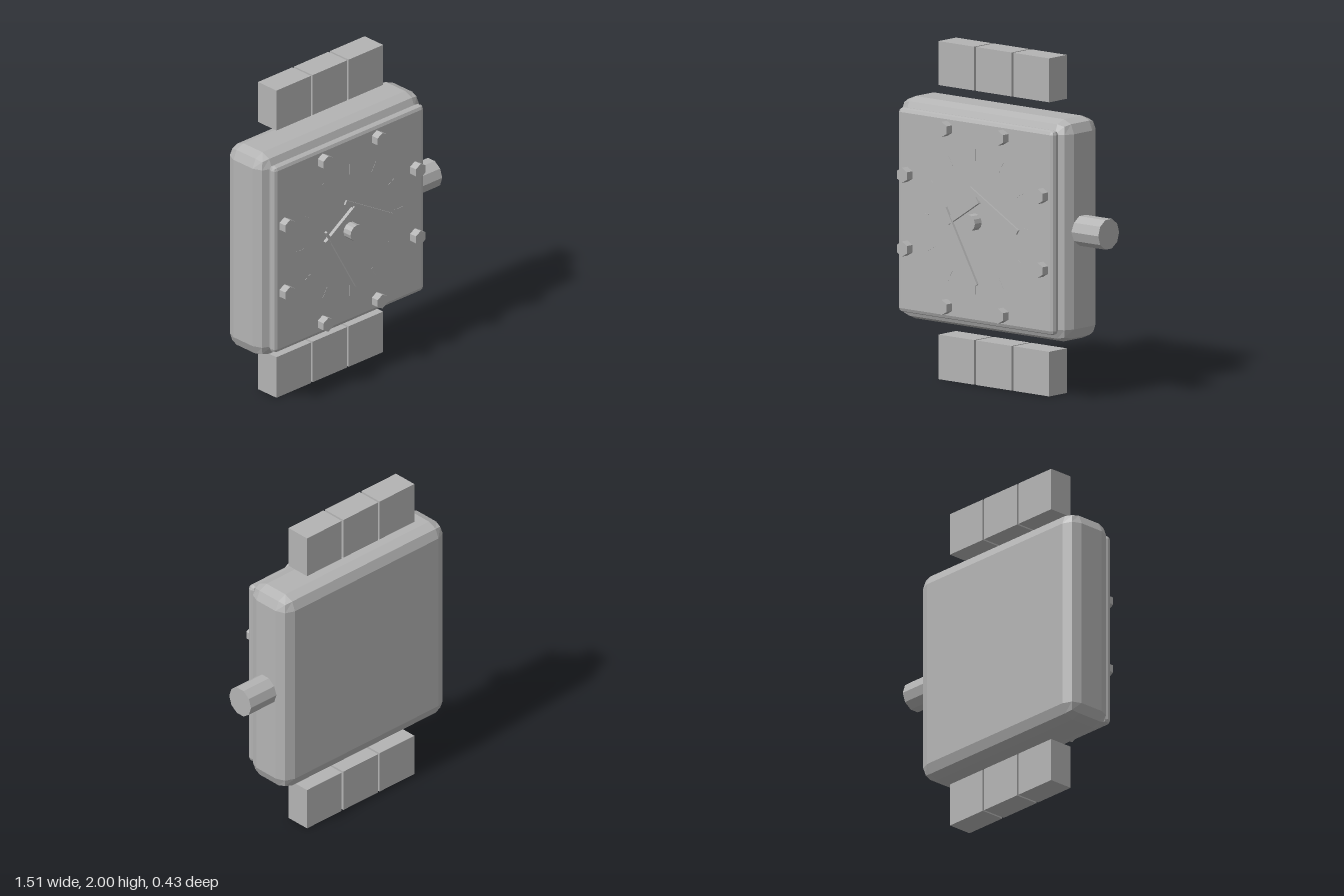
import * as THREE from 'three';
import { RoundedBoxGeometry } from 'three/addons/geometries/RoundedBoxGeometry.js';

const CX = -0.1, CY = 1.005; // centre of the dial

export function createModel() {
  const watch = new THREE.Group();
  watch.name = 'wristwatch';
  const steel = new THREE.MeshStandardMaterial({ color: 0xb3b3b3 });
  steel.name = 'grey steel';

  const add = (name, geometry, x, y, z) => {
    // faceted normals throughout
    const flat = geometry.index ? geometry.toNonIndexed() : geometry;
    flat.computeVertexNormals();
    const mesh = new THREE.Mesh(flat, steel);
    mesh.name = name;
    mesh.position.set(x, y, z);
    watch.add(mesh);
    return mesh;
  };

  // a bar lying on the dial between two points
  const bar = (name, [x1, y1], [x2, y2], width, z1, z2) => {
    const length = Math.hypot(x2 - x1, y2 - y1);
    const mesh = add(name, new THREE.BoxGeometry(length, width, z2 - z1),
      (x1 + x2) / 2, (y1 + y2) / 2, (z1 + z2) / 2);
    mesh.rotation.z = Math.atan2(y2 - y1, x2 - x1);
  };

  // bevelled case and dial plate
  add('case', new RoundedBoxGeometry(1.31, 1.315, 0.32, 1, 0.08), CX - 0.003, CY, -0.055);
  add('dialPlate', new RoundedBoxGeometry(1.21, 1.21, 0.056, 1, 0.025), CX, CY, 0.127);

  // winding crown on the side of the case
  const crown = new THREE.CylinderGeometry(0.092, 0.092, 0.22, 10);
  crown.rotateZ(-Math.PI / 2);
  add('crown', crown, 0.645, CY, -0.05);

  // ring of hexagonal bolts
  for (let i = 0; i < 8; i++) {
    const a = (i + 0.5) * Math.PI / 4;
    const bolt = new THREE.CylinderGeometry(0.045, 0.045, 0.055, 6);
    bolt.rotateX(Math.PI / 2);
    add('bolt', bolt, CX + 0.57 * Math.cos(a), CY + 0.57 * Math.sin(a), 0.1765);
  }

  // fine hour marks, almost flush with the dial
  for (let i = 0; i < 12; i++) {
    const a = i * Math.PI / 6, c = Math.cos(a), s = Math.sin(a);
    bar('hourMark', [CX + 0.36 * c, CY + 0.36 * s], [CX + 0.43 * c, CY + 0.43 * s],
      0.008, 0.152, 0.1565);
  }

  // hands and centre pin
  bar('minuteHand', [-0.14, 1.197], [0.235, 0.983], 0.03, 0.152, 0.167);
  bar('hourHand', [-0.302, 0.985], [-0.068, 1.138], 0.04, 0.152, 0.177);
  bar('secondHand', [-0.311, 1.068], [-0.068, 0.637], 0.013, 0.168, 0.184);
  const pin = new THREE.CylinderGeometry(0.05, 0.05, 0.065, 12);
  pin.rotateX(Math.PI / 2);
  add('centrePin', pin, CX, CY, 0.1825);

  // strap links above and below the case
  for (const x of [-0.3925, -0.1015, 0.1895]) {
    add('upperLink', new THREE.BoxGeometry(0.278, 0.26, 0.156), x, 1.87, -0.088);
    add('lowerLink', new THREE.BoxGeometry(0.278, 0.264, 0.156), x, 0.132, -0.088);
  }
  return watch;
}
